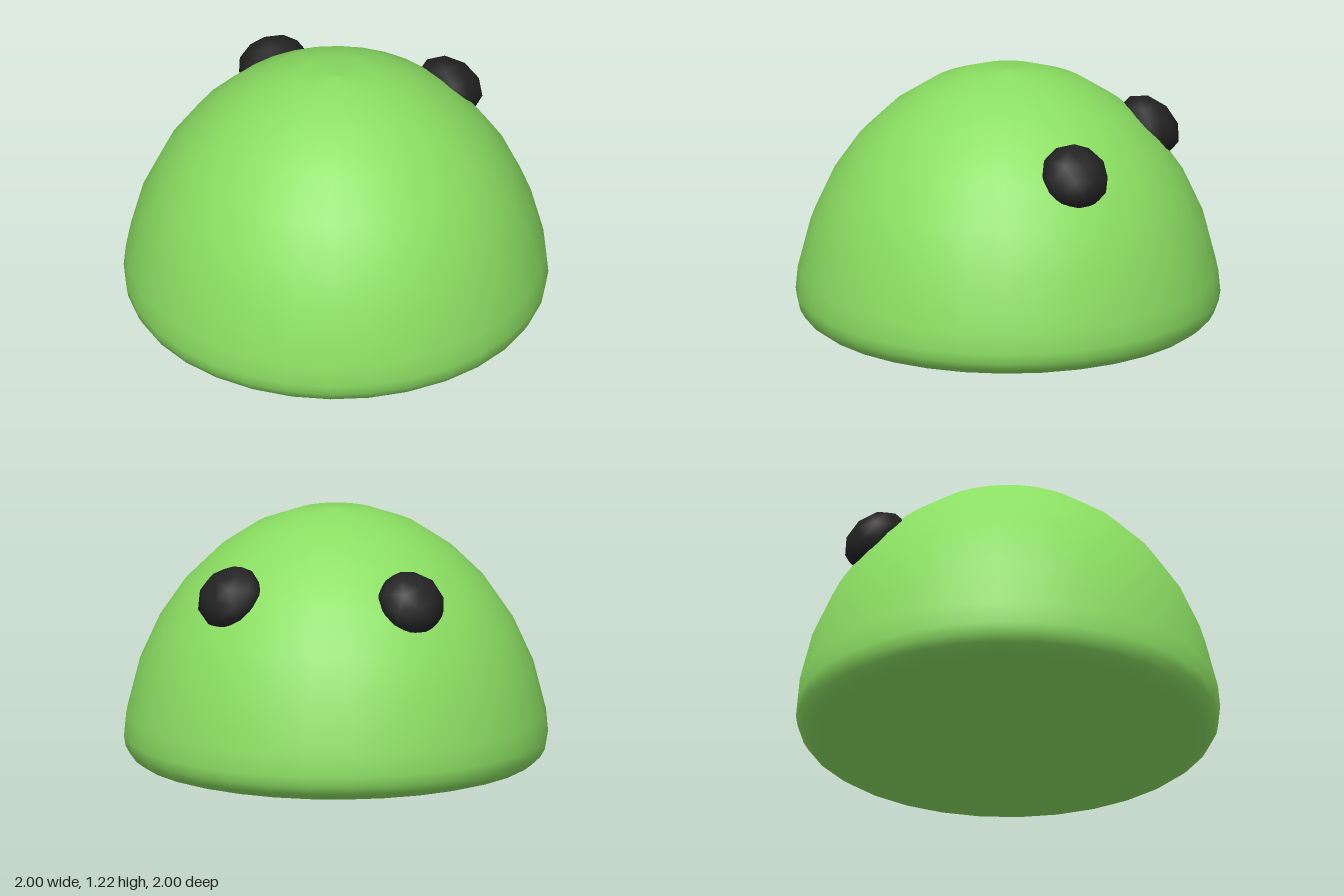
import * as THREE from 'three';

const green = new THREE.MeshStandardMaterial({ color: 0x8bde62 });
const black = new THREE.MeshStandardMaterial({ color: 0x222222 });

// Dome with a small rounded lower rim and a flat underside
function makeBody() {
  const profile = [
    [0, 0], [0.86, 0], [0.89, 0.003], [0.935, 0.016], [0.97, 0.042], [0.992, 0.08],
    [1, 0.13], [0.99, 0.235], [0.93, 0.47], [0.835, 0.68], [0.712, 0.86],
    [0.56, 1.01], [0.385, 1.127], [0.197, 1.197], [0, 1.22],
  ].map(([r, y]) => new THREE.Vector2(r, y));
  const body = new THREE.Mesh(new THREE.LatheGeometry(profile, 32), green);
  body.name = 'body';
  return body;
}

// Flattened low-poly ball, half sunk into the dome and facing along its normal
function makeEye(side) {
  const eye = new THREE.Mesh(new THREE.IcosahedronGeometry(1, 1), black);
  const normal = new THREE.Vector3(side * 0.44, 0.707, -0.55).normalize();
  eye.scale.set(0.165, 0.165, 0.12);
  eye.position.set(side * 0.43, 0.885, -0.535);
  eye.quaternion.setFromUnitVectors(new THREE.Vector3(0, 0, 1), normal);
  eye.name = side > 0 ? 'leftEye' : 'rightEye';
  return eye;
}

export function createModel() {
  const model = new THREE.Group();
  model.name = 'domeCreature';
  model.add(makeBody());
  for (const side of [-1, 1]) model.add(makeEye(side));
  return model;
}
